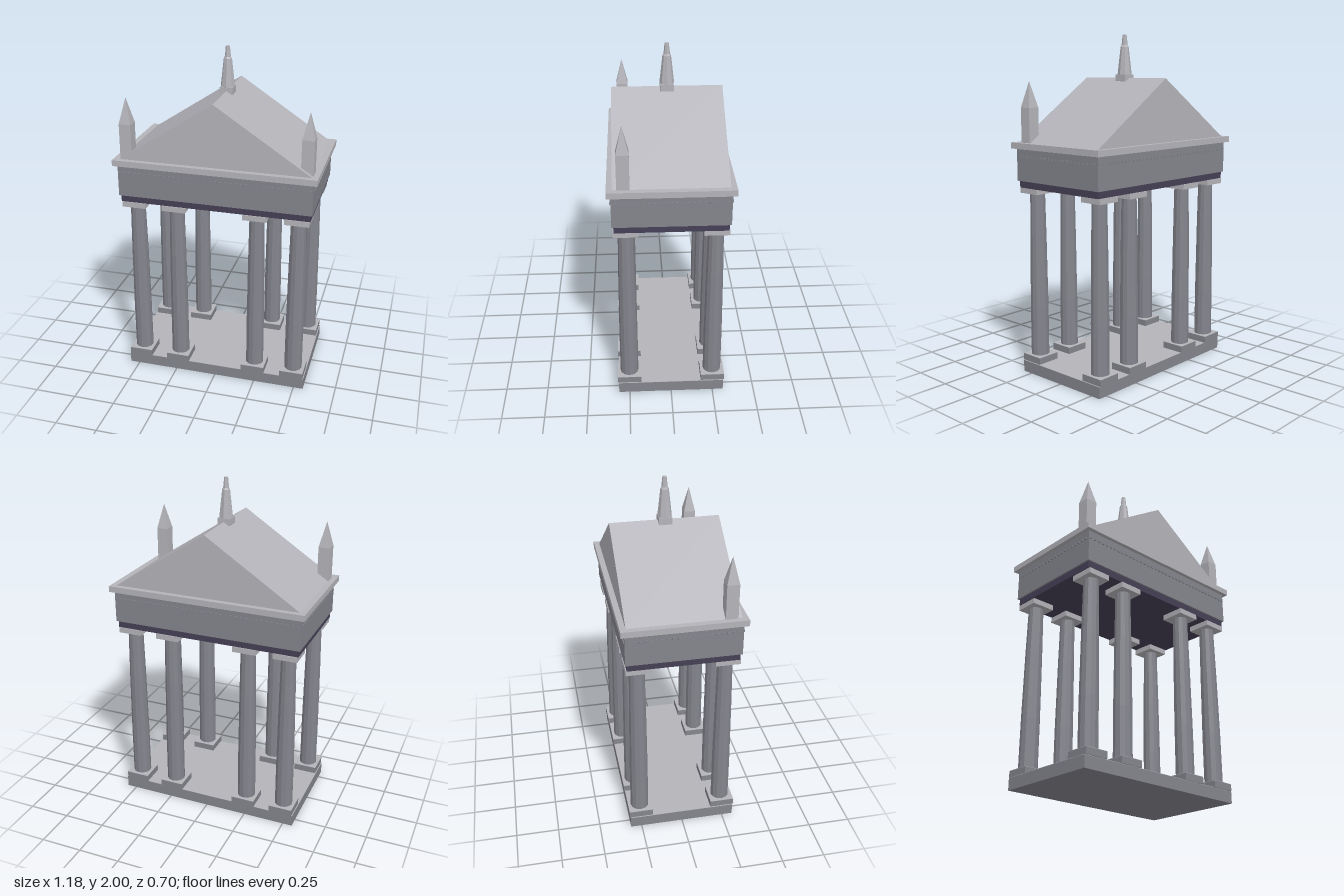
import * as THREE from 'three';

const stone = (name, color) => {
  const m = new THREE.MeshStandardMaterial({ color, flatShading: true });
  m.name = name;
  return m;
};

export function createModel() {
  const pale = stone('paleStone', 0xb3b3b9);
  const grey = stone('greyStone', 0x84848d);
  const dark = stone('darkStone', 0x454056);
  const model = new THREE.Group();

  const add = (name, geometry, material, x = 0, y = 0, z = 0, parent = model) => {
    const mesh = new THREE.Mesh(geometry, material);
    mesh.name = name;
    mesh.position.set(x, y, z);
    parent.add(mesh);
    return mesh;
  };
  // Box given by its width, depth and the heights of its bottom and top
  const slab = (name, w, d, y0, y1, material, x = 0, z = 0, parent = model) =>
    add(name, new THREE.BoxGeometry(w, y1 - y0, d), material, x, (y0 + y1) / 2, z, parent);

  // Base with a pale floor
  slab('base', 1.116, 0.63, 0, 0.068, grey);
  slab('floor', 1.116, 0.63, 0.068, 0.07, pale);

  // Four columns along the front and four along the back
  const shaft = new THREE.LatheGeometry([
    [0.054, 0.11], [0.0535, 0.4], [0.049, 0.8], [0.044, 1.09],
  ].map(([r, y]) => new THREE.Vector2(r, y)), 12);
  for (const z of [-0.25, 0.25]) {
    for (const x of [-0.482, -0.24, 0.24, 0.482]) {
      const column = new THREE.Group();
      column.name = 'column';
      column.position.set(x, 0, z);
      model.add(column);
      slab('plinth', 0.142, 0.142, 0.07, 0.109, grey, 0, 0, column);
      slab('plinthTop', 0.142, 0.142, 0.109, 0.111, pale, 0, 0, column);
      add('shaft', shaft, grey, 0, 0, 0, column);
      slab('capital', 0.142, 0.142, 1.09, 1.122, pale, 0, 0, column);
    }
  }

  // Entablature
  slab('architrave', 1.116, 0.63, 1.122, 1.162, dark);
  slab('frieze', 1.136, 0.65, 1.162, 1.35, grey);
  slab('cornice', 1.184, 0.696, 1.35, 1.385, pale);

  // Row of tiny dentils on all four sides
  const dentils = new THREE.Group();
  dentils.name = 'dentils';
  model.add(dentils);
  const tooth = new THREE.BoxGeometry(0.014, 0.012, 0.014);
  for (const side of [-1, 1]) {
    for (let i = 0; i < 38; i++) add('dentil', tooth, grey, -0.555 + i * 0.03, 1.305, side * 0.324, dentils);
    for (let i = 0; i < 21; i++) add('dentil', tooth, grey, side * 0.567, 1.305, -0.3 + i * 0.03, dentils);
  }

  // Gabled roof with its ridge running front to back
  const gable = new THREE.Shape();
  gable.moveTo(-0.556, 1.385);
  gable.lineTo(0.556, 1.385);
  gable.lineTo(0, 1.75);
  gable.closePath();
  add('roof', new THREE.ExtrudeGeometry(gable, { depth: 0.63, bevelEnabled: false }), pale, 0, 0, -0.315);

  // Square pinnacles on the front corners
  for (const x of [-0.525, 0.525]) {
    const pinnacle = new THREE.Group();
    pinnacle.name = 'pinnacle';
    pinnacle.position.set(x, 0, 0.257);
    model.add(pinnacle);
    slab('pinnacleShaft', 0.07, 0.07, 1.385, 1.585, pale, 0, 0, pinnacle);
    const tip = add('pinnacleTip', new THREE.ConeGeometry(0.035 * Math.SQRT2, 0.15, 4), pale, 0, 1.66, 0, pinnacle);
    tip.rotation.y = Math.PI / 4;
  }

  // Eight-sided finial on the middle of the ridge
  slab('finialBase', 0.076, 0.076, 1.73, 1.77, pale);
  const finial = new THREE.LatheGeometry([
    [0, 1.77], [0.042, 1.77], [0.024, 1.93], [0.018, 1.94], [0.012, 2], [0, 2],
  ].map(([r, y]) => new THREE.Vector2(r, y)), 8);
  add('finial', finial, pale);

  return model;
}
